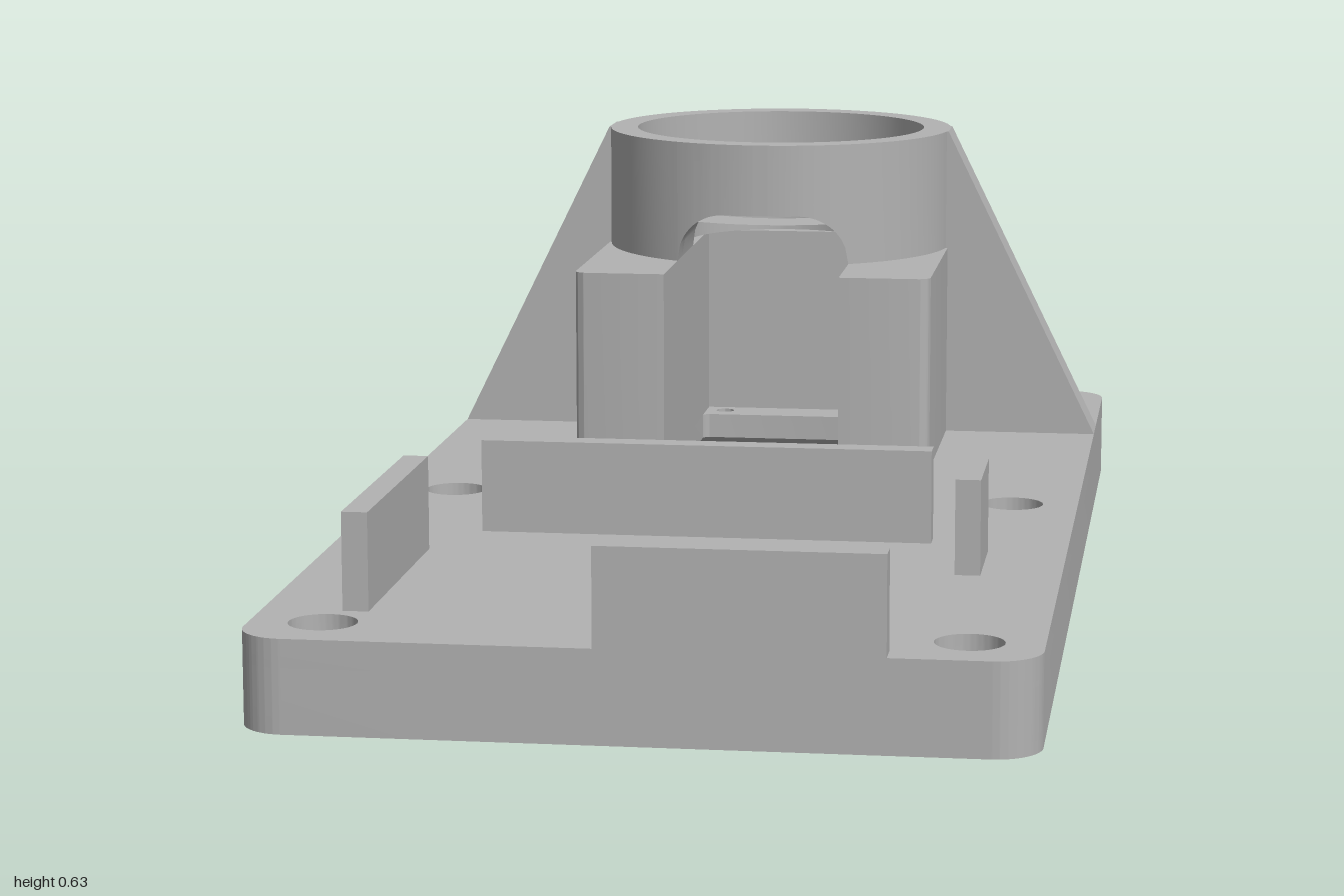
import * as THREE from 'three';
import { toCreasedNormals } from 'three/addons/utils/BufferGeometryUtils.js';

const C = 0.63;          // socket centre, measured towards the back
const PLATE = 0.13;      // top of the base plate
const SLOT = 0.14;       // half width of the cable channel
const TOP = 0.635;       // rim height

export function createModel() {
  const group = new THREE.Group();
  const grey = new THREE.MeshStandardMaterial({ color: 0xb2b2b2 });
  grey.name = 'plainGrey';

  const add = (name, geometry) => {
    const mesh = new THREE.Mesh(toCreasedNormals(geometry, 0.5), grey);
    mesh.name = name;
    group.add(mesh);
    return mesh;
  };
  // Moves every vertex by a rule
  const warp = (geometry, rule) => {
    const p = geometry.attributes.position;
    const v = new THREE.Vector3();
    for (let i = 0; i < p.count; i++) {
      rule(v.fromBufferAttribute(p, i));
      p.setXYZ(i, v.x, v.y, v.z);
    }
    return geometry;
  };
  // Plan outlines use (x, -z) and are raised from y0 to y1
  const raise = (shape, y0, y1) =>
    new THREE.ExtrudeGeometry(shape, { depth: y1 - y0, bevelEnabled: false, curveSegments: 32 })
      .rotateX(-Math.PI / 2).translate(0, y0, 0);
  const roundRect = (target, x0, y0, x1, y1, r) => {
    target.absarc(x1 - r, y0 + r, r, -Math.PI / 2, 0, false);
    target.absarc(x1 - r, y1 - r, r, 0, Math.PI / 2, false);
    target.absarc(x0 + r, y1 - r, r, Math.PI / 2, Math.PI, false);
    target.absarc(x0 + r, y0 + r, r, Math.PI, Math.PI * 1.5, false);
    target.closePath();
    return target;
  };
  const circle = (x, y, r) => new THREE.Path().absarc(x, y, r, 0, Math.PI * 2, false);
  const polygon = (pts, Type = THREE.Shape) => new Type(pts.map(([x, y]) => new THREE.Vector2(x, y)));

  // Base plate outline with six mounting holes
  const plateShape = () => {
    const s = roundRect(new THREE.Shape(), -0.533, -1, 0.533, 1, 0.065);
    for (const x of [-0.433, 0.433]) for (const y of [-0.9, 0, 0.9]) s.holes.push(circle(x, y, 0.047));
    return s;
  };

  // Lower plate: tapered pocket, cable channel and cable slot
  const lower = plateShape();
  lower.holes.push(polygon([
    [-0.25, 0.17], [-0.08, 0.17], [-0.08, -0.125], [-0.135, -0.125], [-0.135, -0.265], [0.135, -0.265],
    [0.135, -0.125], [0.08, -0.125], [0.08, 0.17], [0.25, 0.17], [0.25, 0.87], [-0.25, 0.87],
  ], THREE.Path));
  add('lowerPlate', warp(raise(lower, 0, 0.09), v => {
    if (v.y > 0.05 && Math.abs(v.x) < 0.26 && v.z < -0.1 && v.z > -0.9) {
      v.x = THREE.MathUtils.clamp(v.x, -SLOT, SLOT);
      v.z = THREE.MathUtils.clamp(v.z, -0.76, -0.3);
    }
  }));

  // Upper plate: sensor opening, four screw holes and cable slot
  const upper = plateShape();
  upper.holes.push(roundRect(new THREE.Path(), -SLOT, 0.37, SLOT, 0.69, 0.012));
  upper.holes.push(roundRect(new THREE.Path(), -0.135, -0.265, 0.135, -0.125, 0.035));
  for (const x of [-0.108, 0.108]) for (const y of [0.335, 0.73]) upper.holes.push(circle(x, y, 0.015));
  add('upperPlate', raise(upper, 0.09, PLATE));

  // Half-round roof of the underside channel
  const vault = polygon([[0.08, 0], [0.08, 0.09], [-0.08, 0.09], [-0.08, 0], [-0.076, 0]]);
  vault.absarc(0, 0, 0.076, Math.PI, 0, true);
  add('channelRoof', warp(
    new THREE.ExtrudeGeometry(vault, { depth: 1, bevelEnabled: false, curveSegments: 24 }),
    v => { v.z = v.z > 0.5 ? 0.125 : -0.17 - v.y * 0.13 / 0.09; }));

  // Housing block with a channel open to the front
  const r = 0.02, W = 0.285;
  const block = new THREE.Shape();
  block.moveTo(SLOT, 0.76);
  block.lineTo(SLOT, 0.23);
  block.absarc(W - r, 0.23 + r, r, -Math.PI / 2, 0, false);
  block.absarc(W - r, 0.915 - r, r, 0, Math.PI / 2, false);
  block.absarc(-W + r, 0.915 - r, r, Math.PI / 2, Math.PI, false);
  block.absarc(-W + r, 0.23 + r, r, Math.PI, Math.PI * 1.5, false);
  block.lineTo(-SLOT, 0.23);
  block.lineTo(-SLOT, 0.76);
  add('housingBlock', raise(block, PLATE, 0.44));

  // Socket floor and wall, both interrupted by the channel
  const openRing = (ri, ro) => {
    const a = Math.asin(SLOT / ro), b = Math.asin(SLOT / ri), q = Math.PI / 2;
    const s = new THREE.Shape();
    s.absarc(0, C, ro, a - q, 3 * q - a, false);
    s.absarc(0, C, ri, 3 * q - b, b - q, true);
    return s;
  };
  add('socketFloor', raise(openRing(0.155, 0.245), 0.44, 0.5));
  add('socketWall', raise(openRing(0.24, W), 0.44, TOP));

  // Curved pieces bridging the channel with an arch beneath
  const archY = x => {
    const d = Math.max(0, Math.abs(x) - 0.06);
    return 0.44 + Math.sqrt(Math.max(0, 0.0064 - d * d));
  };
  const bridge = (ri, ro, top) => warp(new THREE.BoxGeometry(SLOT * 2, 1, 1, 56, 1, 1), v => {
    const rad = v.z > 0 ? ro : ri;
    v.y = v.y > 0 ? top : Math.min(top, archY(v.x));
    v.z = -C + Math.sqrt(rad * rad - v.x * v.x);
  });
  add('socketArch', bridge(0.24, W, TOP));
  add('floorArchEdges', bridge(0.155, 0.24, 0.5));

  // Sloping ribs on both sides and at the back
  const rib = (start, end, width) => new THREE.ExtrudeGeometry(
    polygon([[start - 0.025, PLATE], [end, PLATE], [start, TOP], [start - 0.025, TOP]]),
    { depth: width, bevelEnabled: false }).translate(0, 0, -width / 2);
  add('leftRib', rib(W, 0.533, 0.08).translate(0, 0, -C));
  add('rightRib', rib(W, 0.533, 0.08).rotateY(Math.PI).translate(0, 0, -C));
  add('backRib', rib(W, 1 - C, 0.08).rotateY(Math.PI / 2).translate(0, 0, -C));

  // Upright tabs that hold a board: x0, x1, z0, z1
  const tabs = {
    rearTab: [-0.333, 0.333, 0.265, 0.302],
    frontTab: [-0.052, 0.333, 0.963, 1],
    rightTab: [-0.422, -0.386, 0.432, 0.832],
    leftTab: [0.383, 0.419, 0.345, 0.505],
  };
  for (const [name, [x0, x1, z0, z1]] of Object.entries(tabs)) {
    add(name, new THREE.BoxGeometry(x1 - x0, 0.137, z1 - z0)
      .translate((x0 + x1) / 2, PLATE + 0.0685, (z0 + z1) / 2));
  }
  return group;
}
